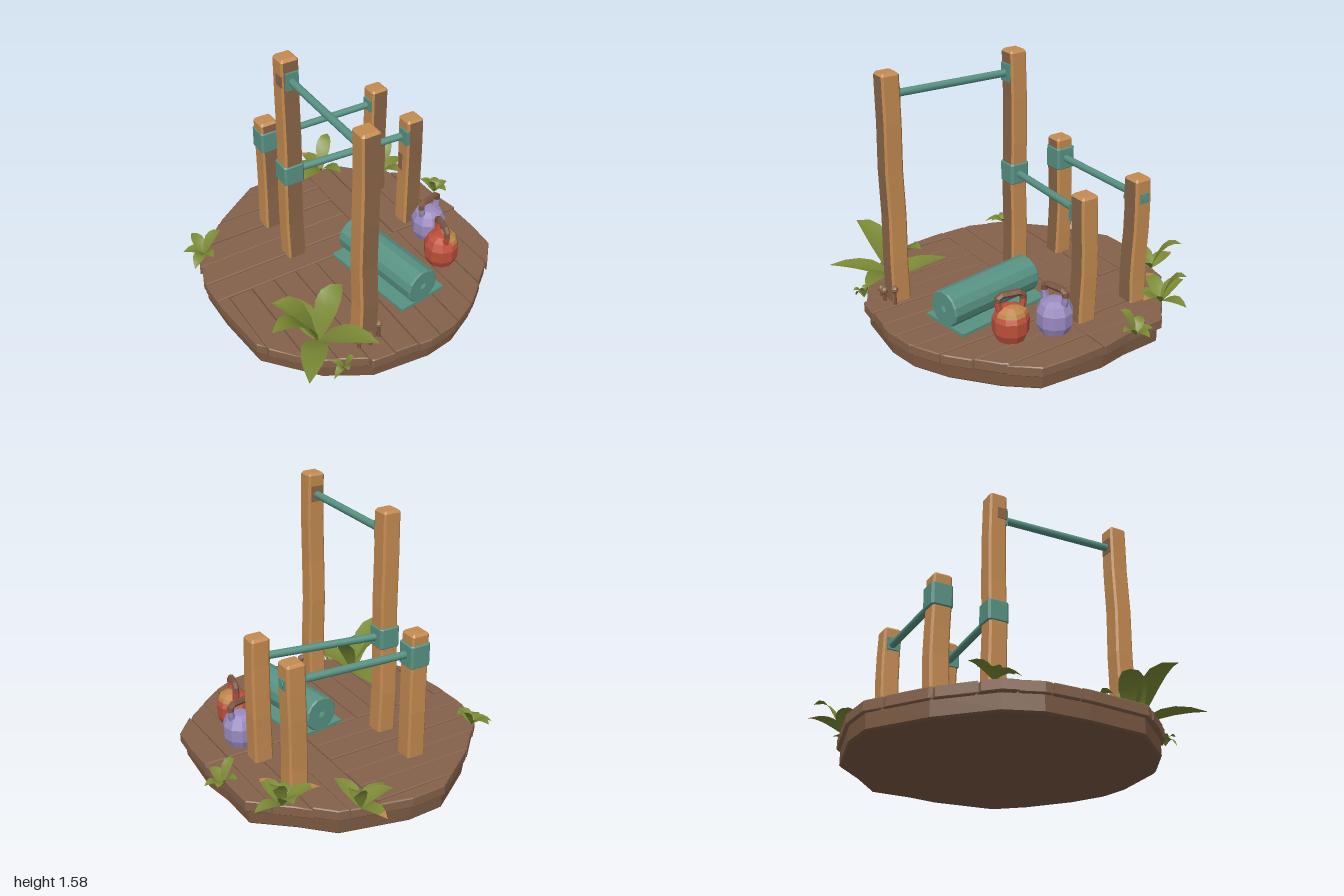
import * as THREE from 'three';

const mat = (name, color, side = THREE.FrontSide) => {
  const m = new THREE.MeshStandardMaterial({ color, side });
  m.name = name;
  return m;
};
const M = {
  plank: mat('plank brown', 0x84614a),
  base: mat('earth brown', 0x785740),
  post: mat('post wood', 0xc38a50),
  postDark: mat('weathered wood', 0x8a6548),
  teal: mat('teal', 0x579283),
  red: mat('red', 0xbd503b),
  purple: mat('purple', 0x9a8bc0),
  grip: mat('grip brown', 0x7a543f),
  leaf: mat('leaf green', 0x7b8a35, THREE.DoubleSide),
  dry: mat('dry leaf', 0xbd8548, THREE.DoubleSide),
};
const TILT = -Math.PI / 12; // the deck grid is turned 15 degrees
const DECK = 0.165;

let seed = 7;
const rnd = () => (seed = (seed * 16807) % 2147483647) / 2147483647;

// Faceted look: split vertices and recompute normals
function flat(geo) {
  const g = geo.index ? geo.toNonIndexed() : geo;
  g.computeVertexNormals();
  return g;
}
function add(parent, name, geo, material, x = 0, y = 0, z = 0) {
  const m = new THREE.Mesh(geo, material);
  m.name = name;
  m.position.set(x, y, z);
  parent.add(m);
  return m;
}
// Polygon in plan (x, z) raised along y
function slab(pts, depth, bevel, steps = 1, holes = []) {
  const s = new THREE.Shape(pts.map(([x, z]) => new THREE.Vector2(x, -z)));
  holes.forEach(h => s.holes.push(new THREE.Path(h.map(([x, z]) => new THREE.Vector2(x, -z)))));
  return new THREE.ExtrudeGeometry(s, {
    depth: depth - 2 * bevel, steps, bevelEnabled: bevel > 0, bevelSize: bevel,
    bevelThickness: bevel, bevelOffset: -bevel, bevelSegments: 1,
  }).rotateX(-Math.PI / 2).translate(0, bevel, 0);
}
const ngon = (n, r, turn = 0) => Array.from({ length: n }, (_, i) => {
  const a = turn + (i / n) * Math.PI * 2;
  return [r * Math.cos(a), r * Math.sin(a)];
});
const chamferedSquare = (h, c) => [[h, c - h], [h, h - c], [h - c, h], [c - h, h],
  [-h, h - c], [-h, c - h], [c - h, -h], [h - c, -h]];

// Keep the part of a polygon where sign * (p[axis] - limit) >= 0
function clip(poly, axis, limit, sign) {
  const out = [];
  poly.forEach((a, i) => {
    const b = poly[(i + 1) % poly.length];
    const da = sign * (a[axis] - limit), db = sign * (b[axis] - limit);
    if (da >= 0) out.push(a);
    if (da * db < 0) out.push([0, 1].map(k => a[k] + (b[k] - a[k]) * da / (da - db)));
  });
  return out;
}
const area = p => Math.abs(p.reduce((s, a, i) => {
  const b = p[(i + 1) % p.length];
  return s + a[0] * b[1] - a[1] * b[0];
}, 0)) / 2;

const OUTLINE = [[-0.22, -0.91], [0.03, -0.85], [0.22, -0.83], [0.61, -0.69], [0.74, -0.5], [0.87, -0.21],
  [0.92, 0.02], [0.9, 0.21], [0.77, 0.55], [0.56, 0.76], [0.21, 0.93], [-0.16, 0.87], [-0.42, 0.8],
  [-0.6, 0.67], [-0.79, 0.34], [-0.92, -0.03], [-0.87, -0.25], [-0.66, -0.63], [-0.45, -0.75]];

function buildDeck(root) {
  const deck = new THREE.Group();
  deck.name = 'deck';
  root.add(deck);
  add(deck, 'deckBase', slab(OUTLINE.map(([x, z]) => [x * 0.97, z * 0.97]), 0.13, 0.012), M.base);
  const c = Math.cos(TILT), s = Math.sin(TILT);
  const local = OUTLINE.map(([x, z]) => [x * c - z * s, x * s + z * c]);
  const plank = (u0, u1, v0, v1) => {
    const k = 0.985 + rnd() * 0.025, gap = 0.003;
    let p = local.map(q => [q[0] * k, q[1] * k]);
    p = clip(clip(p, 0, u0 + gap, 1), 0, u1 - gap, -1);
    p = clip(clip(p, 1, v0 + gap, 1), 1, v1 - gap, -1);
    if (p.length < 3 || area(p) < 0.004) return;
    add(deck, 'plank', slab(p, 0.062 + rnd() * 0.006, 0.006), M.plank, 0, 0.1, 0).rotation.y = TILT;
  };
  // Right half and back left run across, front left runs front to back
  for (let v = -1; v < 1; v += 0.15) plank(0.01, 1.1, v, v + 0.15);
  for (let v = -1.05; v < -0.2; v += 0.17) plank(-1.1, 0.01, v, v + 0.17);
  for (let u = -0.98; u < -0.05; u += 0.165) plank(u, u + 0.165, -0.2, 1.1);
}

// Hewn post, weathered on its right-hand face
function buildPost(root, name, x, z, top) {
  const g = slab(chamferedSquare(0.057, 0.012), top - 0.13, 0.015, 5);
  const p = g.attributes.position;
  for (let i = 0; i < p.count; i++) {
    const y = p.getY(i);
    p.setX(i, p.getX(i) * (1.04 - 0.04 * y) + 0.004 * Math.sin(y * 9 + x * 20));
    p.setZ(i, p.getZ(i) * (1.04 - 0.04 * y) + 0.004 * Math.sin(y * 7 + z * 20));
  }
  const f = flat(g);
  f.clearGroups();
  for (let i = 0; i < p.count; i += 3) f.addGroup(i, 3, f.attributes.normal.getX(i) > 0.85 ? 1 : 0);
  add(root, name, f, [M.post, M.postDark], x, 0.13, z).rotation.y = TILT;
}

function buildBar(root, name, a, b, r = 0.023) {
  const A = new THREE.Vector3(...a), B = new THREE.Vector3(...b);
  const m = add(root, name, new THREE.CylinderGeometry(r, r, A.distanceTo(B), 10), M.teal);
  m.position.copy(A).add(B).multiplyScalar(0.5);
  m.quaternion.setFromUnitVectors(new THREE.Vector3(0, 1, 0), B.sub(A).normalize());
}

// Arched, gently folded leaf from the origin to a tip
function leafGeometry(dx, dy, dz, half) {
  const N = 5, pos = [], idx = [];
  const r = Math.hypot(dx, dz), sx = -dz / r, sz = dx / r;
  const lift = Math.max(dy, 0.05) * 1.1 + 0.02;
  for (let i = 0; i <= N; i++) {
    const t = i / N, w = half * (0.12 + 0.88 * Math.sin(Math.PI * Math.pow(t, 0.85))) * (i === N ? 0 : 1);
    const q = 2 * t * (1 - t) * 0.4 + t * t, y = 2 * t * (1 - t) * lift + t * t * dy;
    for (const k of [-1, 0, 1]) pos.push(dx * q + sx * w * k, y + (k ? w * 0.2 : 0), dz * q + sz * w * k);
    if (i < N) for (const k of [0, 1]) {
      const a = i * 3 + k;
      idx.push(a, a + 1, a + 3, a + 1, a + 4, a + 3);
    }
  }
  const g = new THREE.BufferGeometry();
  g.setAttribute('position', new THREE.Float32BufferAttribute(pos, 3));
  g.setIndex(idx);
  g.computeVertexNormals();
  g.addGroup(0, (N - 1) * 12, 0);
  g.addGroup((N - 1) * 12, 12, 1);
  return g;
}
// Each leaf is [tip x, tip y, tip z]; the first dryCount leaves have dry ends
function buildPlant(root, name, [x, y, z], half, tips, dryCount = 0) {
  const plant = new THREE.Group();
  plant.name = name;
  plant.position.set(x, y, z);
  root.add(plant);
  tips.forEach(([a, b, c], i) => add(plant, 'leaf', leafGeometry(a - x, b - y, c - z, half),
    [M.leaf, i < dryCount ? M.dry : M.leaf]));
}

function buildKettlebell(root, name, x, z, material, turn) {
  const bell = new THREE.Group();
  bell.name = name;
  bell.position.set(x, DECK, z);
  bell.rotation.y = turn;
  root.add(bell);
  const profile = [[0, 0], [0.085, 0], [0.106, 0.05], [0.108, 0.13], [0.085, 0.18], [0.045, 0.2], [0, 0.203]];
  add(bell, 'weight', flat(new THREE.LatheGeometry(profile.map(p => new THREE.Vector2(...p)), 10)), material);
  // Handle: painted arms, brown grip
  const path = new THREE.CatmullRomCurve3([[-0.06, 0.16], [-0.076, 0.23], [-0.068, 0.27], [0, 0.275],
    [0.068, 0.27], [0.076, 0.23], [0.06, 0.16]].map(([a, b]) => new THREE.Vector3(a, b, 0)));
  const handle = flat(new THREE.TubeGeometry(path, 14, 0.021, 6));
  [[0, 3, 0], [3, 8, 1], [11, 3, 0]].forEach(([from, n, m]) => handle.addGroup(from * 36, n * 36, m));
  add(bell, 'handle', handle, [material, M.grip]);
  return bell;
}

export function createModel() {
  const root = new THREE.Group();
  root.name = 'outdoorGym';
  buildDeck(root);

  // Posts
  buildPost(root, 'backLowPost', -0.32, -0.63, 0.96);
  buildPost(root, 'innerBackLowPost', 0.06, -0.54, 0.95);
  buildPost(root, 'frontLowPost', -0.55, 0.11, 0.96);
  buildPost(root, 'tallPost', -0.23, 0.22, 1.575);
  buildPost(root, 'outerTallPost', 0.59, 0.45, 1.58);

  // Bars with their collars and brackets
  buildBar(root, 'outerLowBar', [-0.55, 0.825, 0.11], [-0.3, 0.84, -0.7]);
  buildBar(root, 'innerLowBar', [-0.23, 0.79, 0.22], [0.06, 0.82, -0.54]);
  buildBar(root, 'highBar', [-0.23, 1.435, 0.22], [0.59, 1.445, 0.45]);
  const collar = (name, x, y, z, h = 0.14) =>
    add(root, name, slab(chamferedSquare(0.066, 0.014), h, 0.006), M.teal, x, y, z).rotation.y = TILT;
  collar('frontLowCollar', -0.55, 0.755, 0.11);
  collar('tallPostCollar', -0.23, 0.73, 0.22, 0.13);
  const plate = (name, material, x, y, z, w, h, d) =>
    add(root, name, new THREE.BoxGeometry(w, h, d), material, x, y, z).rotation.y = TILT;
  plate('innerBackBracket', M.teal, 0.065, 0.83, -0.48, 0.08, 0.1, 0.03);
  plate('backBracket', M.teal, -0.33, 0.845, -0.575, 0.08, 0.08, 0.02);
  plate('backBracketOuter', M.teal, -0.305, 0.84, -0.69, 0.06, 0.06, 0.012);
  plate('highBracket', M.teal, -0.17, 1.44, 0.235, 0.02, 0.11, 0.08);
  // Weathered patches on the posts
  plate('wornPatch', M.postDark, -0.222, 1.44, 0.283, 0.06, 0.07, 0.008);
  plate('wornPatch', M.postDark, 0.535, 1.45, 0.435, 0.009, 0.1, 0.08);
  plate('wornPatch', M.postDark, 0.028, 0.62, -0.491, 0.035, 0.12, 0.008);

  // Rolled exercise mat with its loose sheet
  const roll = new THREE.Group();
  roll.name = 'rolledMat';
  roll.position.set(0.33, DECK, -0.04);
  roll.rotation.y = -0.12;
  root.add(roll);
  add(roll, 'matSheet', new THREE.BoxGeometry(0.65, 0.018, 0.33), M.teal, 0, 0.011, 0);
  const tube = slab(ngon(14, 0.112, 0.3), 0.65, 0.008, 1, [ngon(5, 0.032)]);
  add(roll, 'matRoll', tube.rotateZ(-Math.PI / 2), M.teal, -0.325, 0.113, 0.005);

  // Kettlebells, the red one with worn paint on its back shoulder
  buildKettlebell(root, 'purpleKettlebell', 0.27, -0.5, M.purple, Math.PI / 2);
  const red = buildKettlebell(root, 'redKettlebell', 0.49, -0.36, M.red, -0.5);
  const worn = [[0.098, 0.16], [0.088, 0.184], [0.047, 0.205], [0, 0.208]];
  add(red, 'wornPatch', flat(new THREE.LatheGeometry(worn.map(p => new THREE.Vector2(...p)), 4,
    Math.PI * 0.6, Math.PI * 0.8)), M.dry);

  // Plants around the rim
  buildPlant(root, 'frontPlant', [0.43, 0.16, 0.66], 0.078, [[0.06, 0.19, 0.55], [0.4, 0.42, 0.43],
    [0.78, 0.28, 0.52], [0.42, 0.45, 0.99], [0.68, 0.24, 0.97], [0.22, 0.41, 0.81]]);
  buildPlant(root, 'leftPlant', [-0.71, 0.16, -0.51], 0.05, [[-0.92, 0.2, -0.53], [-0.8, 0.35, -0.67],
    [-0.5, 0.25, -0.5], [-0.68, 0.2, -0.28], [-0.79, 0.24, -0.33]], 1);
  buildPlant(root, 'backLeftPlant', [-0.39, 0.16, -0.79], 0.05, [[-0.2, 0.25, -0.79], [-0.5, 0.25, -0.61],
    [-0.37, 0.2, -0.98], [-0.54, 0.27, -0.85], [-0.45, 0.35, -0.92], [-0.3, 0.22, -0.66]], 2);
  buildPlant(root, 'backPlant', [0.01, 0.15, -0.88], 0.035, [[0.03, 0.19, -0.99], [0.12, 0.22, -0.87],
    [-0.09, 0.22, -0.85], [0.02, 0.28, -0.77], [-0.05, 0.2, -0.96]]);
  buildPlant(root, 'frontLeftPlant', [-0.61, 0.16, 0.63], 0.04, [[-0.6, 0.28, 0.49], [-0.49, 0.22, 0.65],
    [-0.54, 0.16, 0.76], [-0.7, 0.18, 0.72], [-0.76, 0.23, 0.6]]);
  buildPlant(root, 'rimSprout', [0.66, 0.11, 0.68], 0.025, [[0.59, 0.15, 0.72], [0.72, 0.17, 0.71],
    [0.66, 0.09, 0.76], [0.69, 0.19, 0.63]]);

  // Mushrooms by the outer tall post
  for (const [x, z, h] of [[0.66, 0.4, 0.1], [0.67, 0.48, 0.07], [0.64, 0.54, 0.05]]) {
    add(root, 'mushroomStem', new THREE.CylinderGeometry(0.008, 0.012, h, 6), M.grip, x, DECK + h / 2, z);
    add(root, 'mushroomCap', flat(new THREE.SphereGeometry(0.024, 7, 5)), M.postDark, x, DECK + h, z);
  }
  return root;
}
